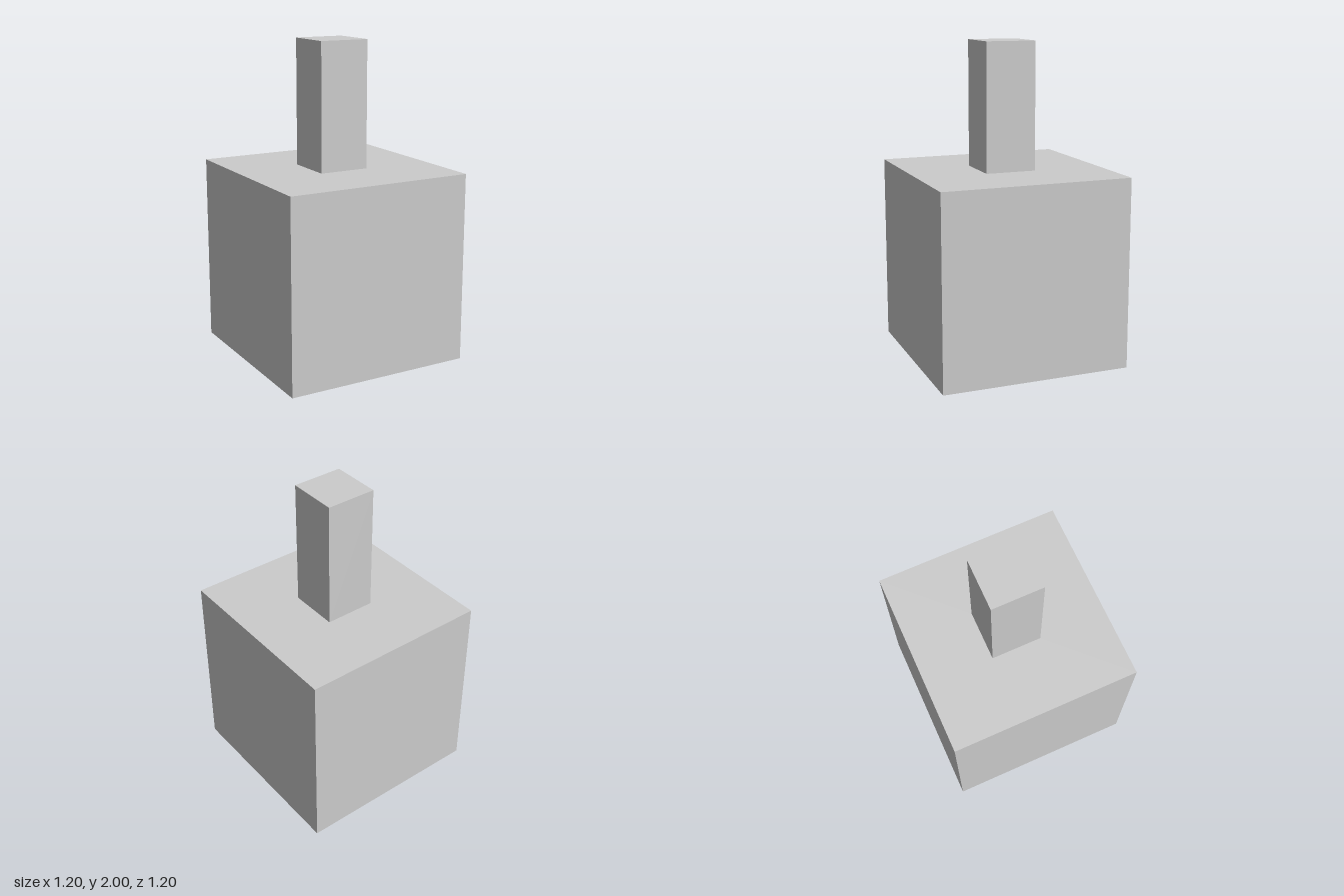
import * as THREE from 'three';

export function createModel() {
  const group = new THREE.Group();
  const material = new THREE.MeshStandardMaterial({ color: 0xcccccc, flatShading: true });

  // Square block standing on the given height
  const addBlock = (name, width, height, bottom) => {
    const mesh = new THREE.Mesh(new THREE.BoxGeometry(width, height, width), material);
    mesh.name = name;
    mesh.position.y = bottom + height / 2;
    group.add(mesh);
  };

  addBlock('base', 1.2, 1.2, 0);
  addBlock('post', 0.32, 0.8, 1.2);

  return group;
}
